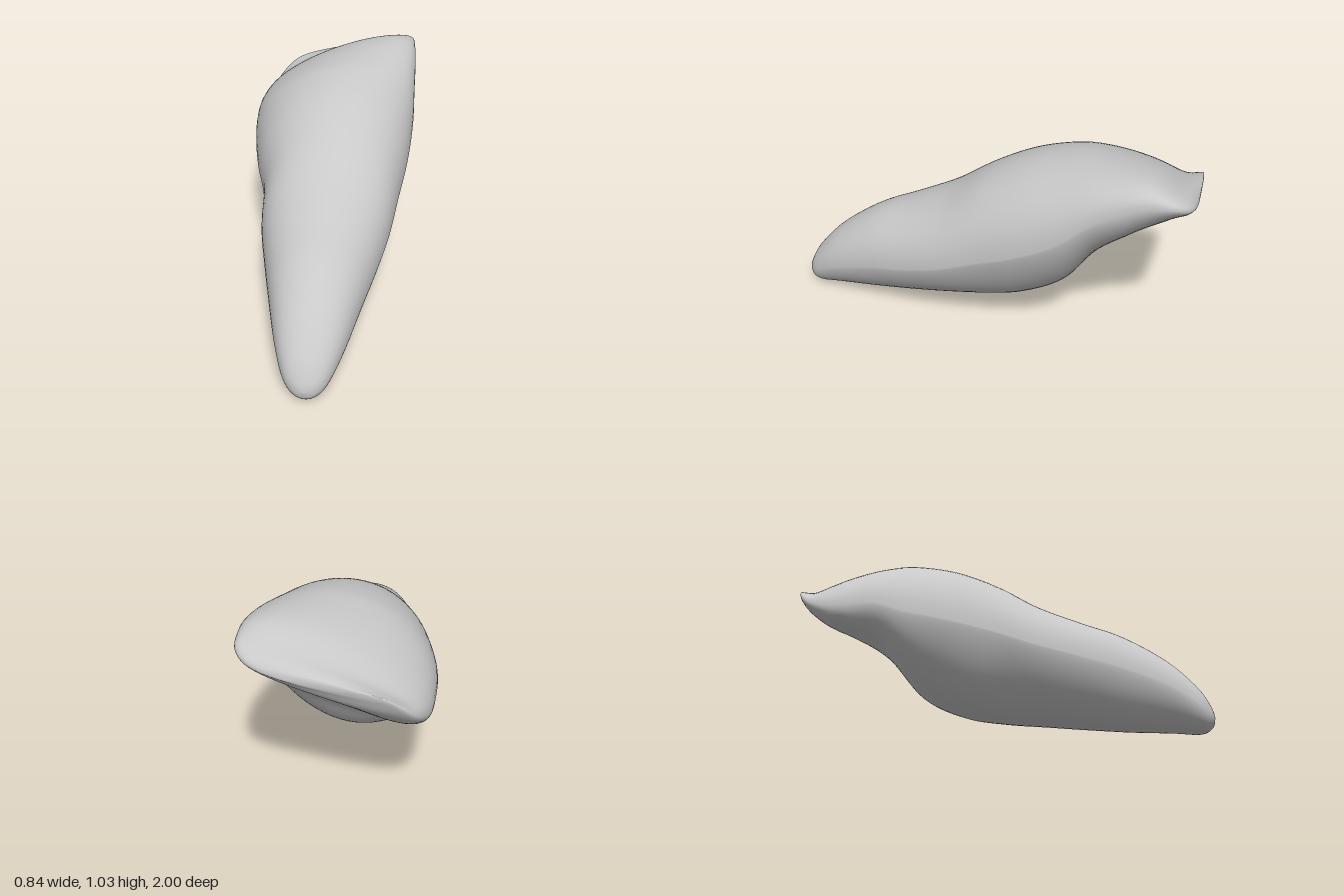
import * as THREE from 'three';
import { mergeVertices } from 'three/addons/utils/BufferGeometryUtils.js';

// Cross-sections from root tip to biting edge:
// z, min x, max x, top y, bottom y, sideways slope, hollow and keel of the underside
const SECTIONS = [
  [1.0, -0.01, -0.01, 0.07, 0.07, 0, 0, 0],
  [0.985, -0.06, 0.045, 0.125, 0.025, 0, 0, 0],
  [0.93, -0.115, 0.1, 0.22, 0.0, 0, 0, 0.15],
  [0.8, -0.165, 0.16, 0.36, 0.018, 0, 0, 0.3],
  [0.6, -0.215, 0.22, 0.5, 0.04, 0, 0, 0.4],
  [0.4, -0.26, 0.275, 0.59, 0.07, 0, 0, 0.45],
  [0.2, -0.3, 0.325, 0.69, 0.1, 0.02, 0, 0.5],
  [0.0, -0.315, 0.36, 0.83, 0.13, 0.04, 0, 0.55],
  [-0.2, -0.37, 0.395, 0.93, 0.17, 0.09, 0, 0.55],
  [-0.4, -0.41, 0.415, 0.99, 0.27, 0.17, 0, 0.4],
  [-0.55, -0.42, 0.415, 1.012, 0.43, 0.26, 0.08, 0.2],
  [-0.7, -0.415, 0.415, 1.025, 0.51, 0.35, 0.22, 0],
  [-0.8, -0.4, 0.41, 1.02, 0.56, 0.39, 0.3, 0],
  [-0.9, -0.36, 0.4, 0.988, 0.645, 0.37, 0.2, 0],
  [-0.96, -0.31, 0.36, 0.955, 0.72, 0.3, 0.05, 0],
  [-0.99, -0.24, 0.29, 0.92, 0.79, 0.22, 0, 0],
  [-1.0, -0.1, 0.17, 0.88, 0.84, 0.14, 0, 0],
];
const SIDES = 64;
const STEPS = 7;

// Smooth blend between neighbouring cross-sections
function sectionAt(t) {
  const last = SECTIONS.length - 1;
  const i = Math.min(Math.floor(t), last - 1);
  const f = t - i;
  const row = (n) => SECTIONS[THREE.MathUtils.clamp(n, 0, last)];
  return row(i).map((p1, c) => {
    const p0 = row(i - 1)[c], p2 = row(i + 1)[c], p3 = row(i + 2)[c];
    const m1 = (p2 - p0) / 2, m2 = (p3 - p1) / 2;
    return p1 + f * (m1 + f * (3 * (p2 - p1) - 2 * m1 - m2 + f * (2 * (p1 - p2) + m1 + m2)));
  });
}

// Closed, slanted rings joined into one smooth skin
function toothGeometry() {
  const positions = [];
  const indices = [];
  const rings = (SECTIONS.length - 1) * STEPS;
  for (let i = 0; i <= rings; i++) {
    const [z, x0, x1, top, bottom, slope, hollow, keel] = sectionAt(i / STEPS);
    const a = Math.max(0, (x1 - x0) / 2);
    const h = (top - bottom) / 2;
    const b = i === rings ? 0 : Math.sqrt(Math.max(0, h * h - (slope * a) ** 2));
    for (let j = 0; j < SIDES; j++) {
      const angle = (j / SIDES) * Math.PI * 2;
      const u = Math.cos(angle);
      const s = Math.sin(angle);
      // full upper face; underside keeled along the root, hollow behind the edge
      const v = s >= 0
        ? Math.pow(s, 0.87)
        : -Math.pow(-s, 1 + Math.max(0, keel)) * (1 - hollow * s ** 4);
      positions.push((x0 + x1) / 2 + a * u, (top + bottom) / 2 + slope * a * u + b * v, z);
      if (i < rings) {
        const p = i * SIDES + j;
        const q = i * SIDES + ((j + 1) % SIDES);
        indices.push(p, p + SIDES, q, q, p + SIDES, q + SIDES);
      }
    }
  }
  const geometry = new THREE.BufferGeometry();
  geometry.setAttribute('position', new THREE.Float32BufferAttribute(positions, 3));
  geometry.setIndex(indices);
  const merged = mergeVertices(geometry, 1e-5);
  merged.computeVertexNormals();
  return merged;
}

export function createModel() {
  const grey = new THREE.MeshStandardMaterial({ color: 0xc8c8c8 });
  grey.name = 'light grey';

  const tooth = new THREE.Mesh(toothGeometry(), grey);
  tooth.name = 'tooth';

  const model = new THREE.Group();
  model.name = 'incisor';
  model.add(tooth);
  return model;
}
